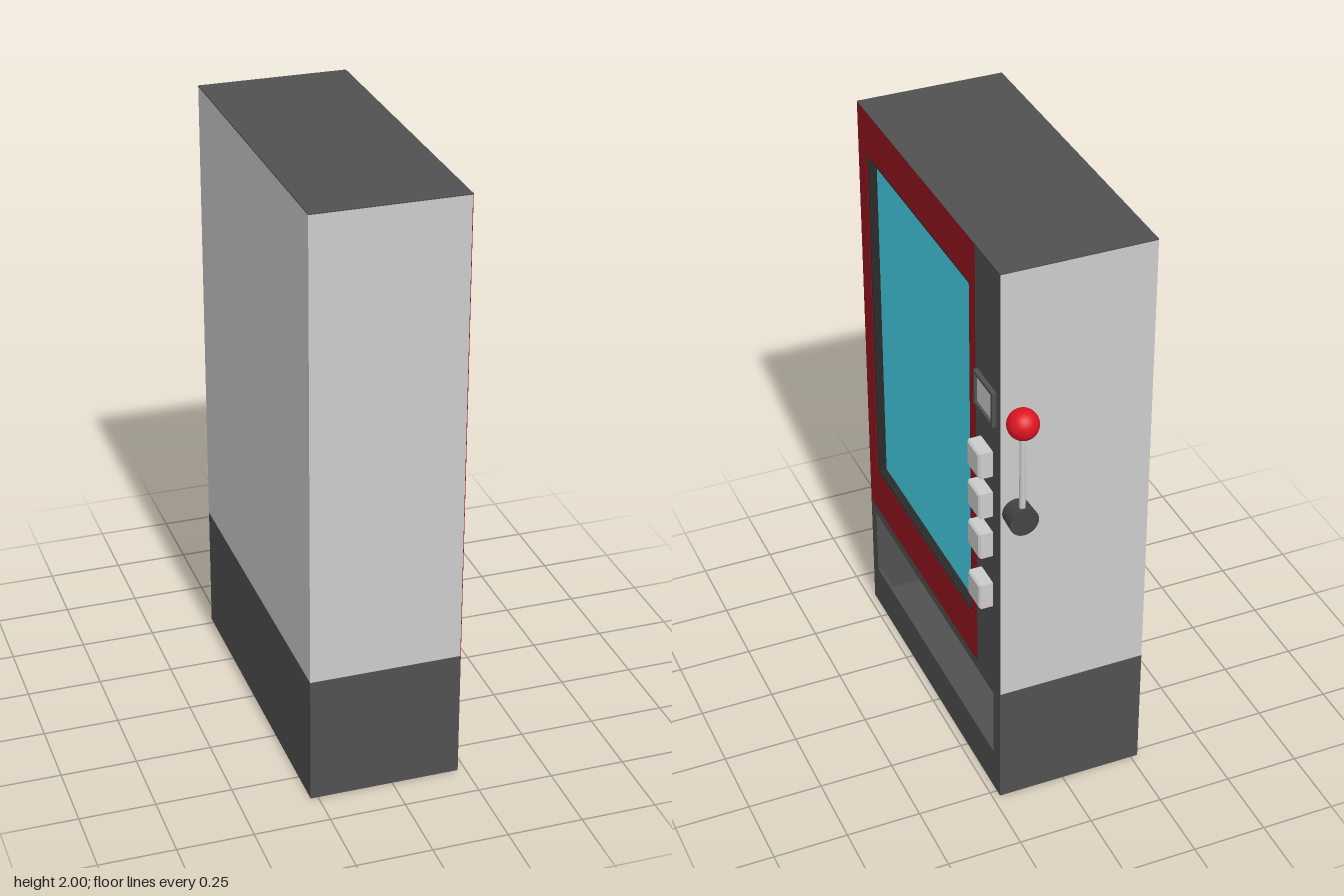
import * as THREE from 'three';

const mat = (color) => new THREE.MeshStandardMaterial({ color });

export function createModel() {
  const model = new THREE.Group();
  const grey = mat(0xcccccc), dark = mat(0x515151), black = mat(0x2a2a2a);
  const red = mat(0x94151f), ballRed = mat(0xdd1522), glass = mat(0x45d5ea);

  const add = (name, geometry, material, parent = model) => {
    const mesh = new THREE.Mesh(geometry, material);
    mesh.name = name;
    parent.add(mesh);
    return mesh;
  };
  const group = (name) => {
    const g = new THREE.Group();
    g.name = name;
    model.add(g);
    return g;
  };
  // Box given by its limits on each axis
  const box = (name, [x0, x1], [y0, y1], [z0, z1], material, parent) => {
    const m = add(name, new THREE.BoxGeometry(x1 - x0, y1 - y0, z1 - z0), material, parent);
    m.position.set((x0 + x1) / 2, (y0 + y1) / 2, (z0 + z1) / 2);
    return m;
  };
  const rect = (path, [y0, y1], [z0, z1]) =>
    path.moveTo(-z1, y0).lineTo(-z0, y0).lineTo(-z0, y1).lineTo(-z1, y1).closePath();
  // Rectangular frame facing +x with a rectangular opening
  const frame = (name, [x0, x1], y, z, holeY, holeZ, material, parent) => {
    const shape = rect(new THREE.Shape(), y, z);
    shape.holes.push(rect(new THREE.Path(), holeY, holeZ));
    const geo = new THREE.ExtrudeGeometry(shape, { depth: x1 - x0, bevelEnabled: false });
    geo.rotateY(Math.PI / 2).translate(x0, 0, 0);
    return add(name, geo, material, parent);
  };

  const L = -0.275, R = 0.225, B = -0.525, F = 0.625, split = 0.435, skin = 0.223;

  // Base with an open collection tray
  const base = group('base');
  box('baseFloor', [L, R], [0, 0.05], [B, F], dark, base);
  box('baseBack', [L, -0.225], [0.05, split], [B, F], dark, base);
  box('baseEndFront', [-0.225, R], [0.05, split], [0.58, F], dark, base);
  box('baseEndRear', [-0.225, R], [0.05, split], [B, -0.47], dark, base);
  box('trayCeiling', [-0.225, R], [0.4, split], [-0.47, 0.58], dark, base);
  box('trayLip', [0.215, R], [0.05, 0.15], [-0.47, 0.58], dark, base);

  // Cabinet walls and roof
  const cabinet = group('cabinet');
  box('wallBack', [L, -0.235], [split, 1.996], [B, F], grey, cabinet);
  box('wallFront', [-0.235, skin], [split, 1.996], [0.585, F], grey, cabinet);
  box('wallRear', [-0.235, skin], [split, 1.996], [B, -0.485], grey, cabinet);
  box('roof', [L, R], [1.996, 2], [B, F], dark, cabinet);

  // Display side: red surround, recessed bezel and glass, control column
  const winY = [0.6, 1.845], winZ = [-0.295, 0.55];
  frame('redSurround', [skin, R], [split, 1.9995], [-0.34, F], winY, winZ, red);
  frame('bezel', [0.18, skin], [0.55, 1.89], [-0.33, 0.58], [0.608, 1.837], [-0.288, 0.543], black);
  box('displayGlass', [0.17, 0.195], [0.58, 1.86], [-0.31, 0.565], glass);
  box('controlColumn', [0.2, R], [split, 1.996], [B + 0.0005, -0.34], dark);

  // Payment slot
  const slot = group('paymentSlot');
  frame('slotFrame', [R, 0.24], [1.46, 1.58], [-0.5, -0.355], [1.47, 1.57], [-0.488, -0.365], dark, slot);
  box('slotPlate', [R, 0.231], [1.47, 1.57], [-0.488, -0.365], grey, slot);

  // Push buttons
  const buttons = group('buttons');
  const face = rect(new THREE.Shape(), [-0.04, 0.04], [-0.04, 0.04]);
  const buttonGeo = new THREE.ExtrudeGeometry(face, {
    depth: 0.041, bevelThickness: 0.006, bevelSize: 0.006, bevelSegments: 1,
  }).rotateY(Math.PI / 2);
  for (const y of [1.305, 1.155, 1.003, 0.805]) {
    add('button', buttonGeo, grey, buttons).position.set(R, y, -0.425);
  }

  // Pull lever on the rear end
  const lever = group('lever');
  lever.position.set(0.173, 1.153, 0);
  const hubGeo = new THREE.CylinderGeometry(0.048, 0.045, 0.067, 32).rotateX(-Math.PI / 2);
  add('leverHub', hubGeo, mat(0x444444), lever).position.z = -0.557;
  add('leverRod', new THREE.CylinderGeometry(0.01, 0.01, 0.33, 20), grey, lever).position.set(0, 0.18, -0.574);
  add('leverBall', new THREE.SphereGeometry(0.05, 32, 24), ballRed, lever).position.set(0, 0.35, -0.575);

  return model;
}
